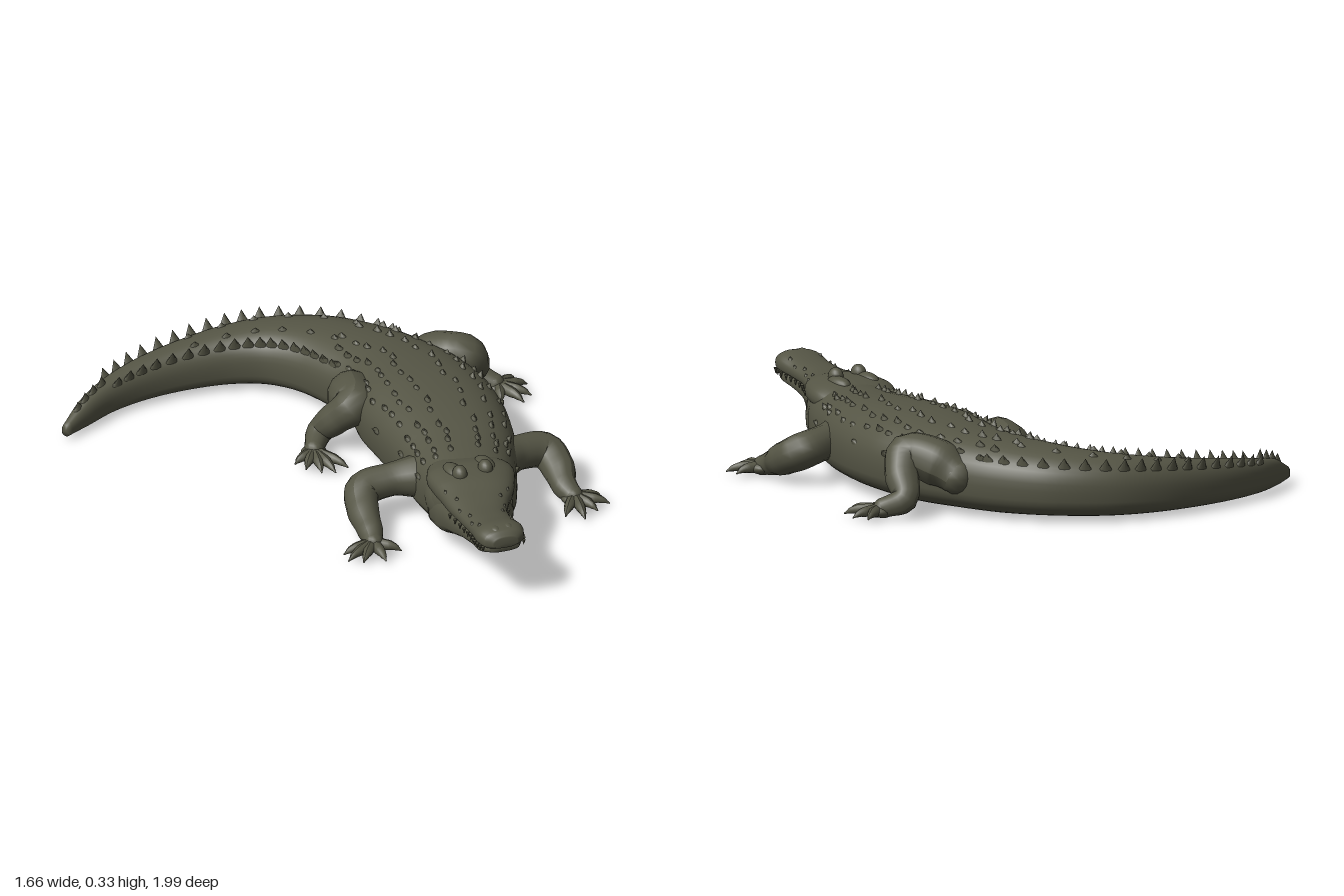
import * as THREE from 'three';
import { mergeGeometries } from 'three/addons/utils/BufferGeometryUtils.js';

const V = (x, y, z) => new THREE.Vector3(x, y, z);
const UP = V(0, 1, 0);
const spow = (v, e) => Math.sign(v) * Math.pow(Math.abs(v), e);

// Surface through cross-sections [x, z, halfWidth, bottom, top], front to back
function makeSurface(sections) {
  const path = new THREE.CatmullRomCurve3(sections.map(s => V(s[0], 0, s[1])));
  const size = new THREE.CatmullRomCurve3(sections.map(s => V(s[2], s[3], s[4])));
  return (u, a) => {
    u = THREE.MathUtils.clamp(u, 0, 1);
    const c = path.getPoint(u), d = path.getTangent(u), s = size.getPoint(u);
    const mid = s.y + 0.45 * (s.z - s.y), sin = Math.sin(a);
    const w = s.x * spow(Math.cos(a), 0.85);
    const y = mid + spow(sin, sin > 0 ? 0.85 : 0.6) * (sin > 0 ? s.z - mid : mid - s.y);
    return V(c.x - d.z * w, y, c.z + d.x * w);
  };
}

function loft(surface, rows, sides) {
  const pos = [], idx = [];
  for (let i = 0; i <= rows; i++)
    for (let j = 0; j < sides; j++) pos.push(...surface(i / rows, (j / sides) * Math.PI * 2).toArray());
  for (let i = 0; i < rows; i++)
    for (let j = 0; j < sides; j++) {
      const k = (j + 1) % sides, p = i * sides, q = p + sides;
      idx.push(p + j, q + j, p + k, q + j, q + k, p + k);
    }
  // End caps
  for (const i of [0, rows]) {
    const c = surface(i / rows, 0).add(surface(i / rows, Math.PI)).multiplyScalar(0.5);
    const n = pos.length / 3, p = i * sides;
    pos.push(...c.toArray());
    for (let j = 0; j < sides; j++) {
      const k = (j + 1) % sides;
      i ? idx.push(n, p + k, p + j) : idx.push(n, p + j, p + k);
    }
  }
  const g = new THREE.BufferGeometry();
  g.setAttribute('position', new THREE.Float32BufferAttribute(pos, 3));
  g.setIndex(idx);
  g.computeVertexNormals();
  return g;
}

// Tapered round tube through points [x, y, z, radius] with rounded ends
function limb(pts, n = 28, sides = 14) {
  const curve = new THREE.CatmullRomCurve3(pts.map(p => V(p[0], p[1], p[2])));
  const g = new THREE.TubeGeometry(curve, n, 1, sides);
  const P = g.attributes.position, v = V();
  for (let i = 0; i <= n; i++) {
    const c = curve.getPointAt(i / n);
    const t = curve.getUtoTmapping(i / n) * (pts.length - 1);
    const k = Math.min(Math.floor(t), pts.length - 2);
    const r = THREE.MathUtils.lerp(pts[k][3], pts[k + 1][3], THREE.MathUtils.smoothstep(t - k, 0, 1));
    for (let j = 0; j <= sides; j++) {
      const m = i * (sides + 1) + j;
      v.fromBufferAttribute(P, m).sub(c).multiplyScalar(r).add(c);
      P.setXYZ(m, v.x, v.y, v.z);
    }
  }
  g.computeVertexNormals();
  const ends = [pts[0], pts[pts.length - 1]].map(p =>
    new THREE.SphereGeometry(p[3], 12, 8).translate(p[0], p[1], p[2]));
  return mergeGeometries([g, ...ends]);
}

// Keeled scale: a cone stretched along the spine
function scute(surface, u, a, h, len, wid, lift) {
  const p = surface(u, a);
  const along = surface(u + 0.01, a).sub(surface(u - 0.01, a)).normalize();
  const across = surface(u, a + 0.03).sub(surface(u, a - 0.03));
  const up = along.clone().cross(across).normalize().lerp(UP, lift).normalize();
  const x = up.clone().cross(along).normalize();
  const z = x.clone().cross(up);
  const m = new THREE.Matrix4().makeBasis(x.multiplyScalar(wid), up.clone().multiplyScalar(h), z.multiplyScalar(len));
  m.setPosition(p.addScaledVector(up, -0.004));
  return new THREE.ConeGeometry(1, 1, 8).translate(0, 0.5, 0).applyMatrix4(m);
}

export function createModel() {
  let seed = 7;
  const rnd = () => (seed = (seed * 16807) % 2147483647) / 2147483647;
  const group = new THREE.Group();
  const hide = new THREE.MeshStandardMaterial({ color: 0x555545 });
  hide.name = 'olive hide';
  const add = (name, g) => {
    const m = new THREE.Mesh(g, hide);
    m.name = name;
    group.add(m);
    return m;
  };

  // Neck, trunk and curved tail
  const body = makeSurface([
    [0.18, 0.6, 0.12, 0.1, 0.27], [0.2, 0.5, 0.157, 0.05, 0.285], [0.23, 0.4, 0.175, 0.025, 0.288],
    [0.255, 0.3, 0.195, 0.015, 0.292], [0.285, 0.18, 0.22, 0.012, 0.302], [0.312, 0, 0.245, 0.01, 0.312],
    [0.322, -0.15, 0.253, 0.01, 0.312], [0.325, -0.3, 0.235, 0.01, 0.302], [0.3, -0.45, 0.205, 0.012, 0.285],
    [0.25, -0.58, 0.19, 0.012, 0.272], [0.165, -0.72, 0.165, 0.015, 0.255], [0.04, -0.83, 0.13, 0.015, 0.235],
    [-0.1, -0.885, 0.105, 0.015, 0.215], [-0.27, -0.905, 0.082, 0.015, 0.19], [-0.45, -0.895, 0.062, 0.015, 0.165],
    [-0.6, -0.858, 0.047, 0.015, 0.14], [-0.72, -0.8, 0.034, 0.015, 0.115], [-0.82, -0.745, 0.016, 0.02, 0.065]]);
  add('bodyAndTail', loft(body, 120, 40));

  // Head
  const upper = makeSurface([
    [0.098, 0.997, 0.045, 0.245, 0.285], [0.1, 0.975, 0.075, 0.235, 0.305], [0.104, 0.93, 0.088, 0.23, 0.31],
    [0.112, 0.85, 0.082, 0.22, 0.292], [0.122, 0.76, 0.087, 0.21, 0.28], [0.145, 0.66, 0.113, 0.2, 0.286],
    [0.175, 0.57, 0.142, 0.195, 0.3], [0.2, 0.48, 0.158, 0.195, 0.3], [0.22, 0.4, 0.14, 0.19, 0.28],
    [0.24, 0.34, 0.1, 0.19, 0.25]]);
  add('upperJaw', loft(upper, 54, 32));
  const lower = makeSurface([
    [0.1, 0.983, 0.055, 0.222, 0.255], [0.104, 0.93, 0.08, 0.2, 0.255], [0.112, 0.85, 0.077, 0.18, 0.245],
    [0.122, 0.76, 0.084, 0.155, 0.238], [0.145, 0.66, 0.109, 0.11, 0.24], [0.175, 0.57, 0.139, 0.062, 0.24],
    [0.2, 0.48, 0.155, 0.04, 0.24]]);
  add('lowerJaw', loft(lower, 40, 32));

  const lump = (name, x, y, z, rx, ry, rz) => {
    const m = add(name, new THREE.SphereGeometry(1, 18, 12));
    m.position.set(x, y, z);
    m.scale.set(rx, ry, rz);
  };
  for (const s of [-1, 1]) {
    lump('eye', 0.182 + s * 0.05, 0.3, 0.535, 0.026, 0.032, 0.032);
    lump('brow', 0.19 + s * 0.062, 0.284, 0.49, 0.032, 0.026, 0.06);
    lump('nostril', 0.102 + s * 0.024, 0.298, 0.95, 0.018, 0.013, 0.022);
    lump('jowl', 0.205 + s * 0.11, 0.16, 0.46, 0.05, 0.075, 0.1);
  }

  // Teeth along both sides of the mouth
  const teeth = [];
  for (const a of [-0.12, Math.PI + 0.12])
    for (let i = 0; i < 11; i++) {
      const p = upper(0.13 + i * 0.04, a);
      teeth.push(new THREE.ConeGeometry(0.007, 0.022, 6).rotateX(Math.PI).translate(p.x, p.y - 0.02, p.z));
    }
  add('teeth', mergeGeometries(teeth));

  // Rows of scales over the back, sparser down the flanks
  const back = [];
  for (let r = 0; r < 15; r++)
    [15, 38, 57, 78].forEach((deg, k) => {
      for (const s of [-1, 1]) {
        if (k === 0 && r % 3) continue;
        const a = ((90 + s * (90 - deg)) * Math.PI) / 180 + (rnd() - 0.5) * 0.12;
        const u = 0.14 + r * 0.0275 + (k % 2) * 0.013 + (rnd() - 0.5) * 0.01;
        back.push(scute(body, u, a, 0.016 + rnd() * 0.012, 0.022, 0.012, 0.3));
      }
    });
  add('backScales', mergeGeometries(back));

  // Upright double crest on the tail, closing to one row at the tip
  const crest = [];
  for (let i = 0; i < 22; i++) {
    const t = i / 21, u = 0.52 + t * 0.44;
    const off = t > 0.85 ? 0 : 0.95 - t * 0.35;
    const h = 0.03 + 0.02 * Math.sin(t * Math.PI);
    for (const s of off ? [-1, 1] : [0]) crest.push(scute(body, u, Math.PI / 2 + s * off, h, 0.024, 0.011, 0.6));
    if (t < 0.6 && i % 2) for (const s of [-1, 1]) crest.push(scute(body, u + 0.008, Math.PI / 2 + s * 0.3, 0.02, 0.02, 0.01, 0.5));
  }
  add('tailCrest', mergeGeometries(crest));

  // Small scales on the snout
  const snout = [];
  for (let i = 0; i < 6; i++)
    for (const s of [-1, 1])
      snout.push(scute(upper, 0.28 + i * 0.065, Math.PI / 2 + s * (0.75 + (i % 2) * 0.3), 0.013, 0.013, 0.009, 0.4));
  add('snoutScales', mergeGeometries(snout));

  // Legs: limb path, palm centre [x, z], toe tips [x, z]
  const legs = [
    ['leftFrontLeg', [[0.38, 0.15, 0.28, 0.08], [0.5, 0.145, 0.24, 0.063], [0.605, 0.125, 0.235, 0.066],
      [0.622, 0.09, 0.31, 0.06], [0.61, 0.06, 0.39, 0.046], [0.622, 0.042, 0.44, 0.036]],
    [0.625, 0.44], [[0.55, 0.53], [0.605, 0.575], [0.67, 0.54], [0.73, 0.51], [0.725, 0.455]]],
    ['rightFrontLeg', [[0.12, 0.15, 0.25, 0.08], [0, 0.145, 0.222, 0.06], [-0.1, 0.125, 0.218, 0.065],
      [-0.135, 0.09, 0.29, 0.058], [-0.15, 0.06, 0.38, 0.047], [-0.163, 0.042, 0.44, 0.036]],
    [-0.165, 0.44], [[-0.28, 0.445], [-0.285, 0.495], [-0.24, 0.525], [-0.165, 0.55], [-0.085, 0.505]]],
    ['leftHindLeg', [[0.465, 0.15, -0.52, 0.065], [0.495, 0.19, -0.45, 0.085], [0.565, 0.215, -0.365, 0.078],
      [0.615, 0.155, -0.395, 0.062], [0.645, 0.08, -0.455, 0.048], [0.705, 0.045, -0.405, 0.037]],
    [0.715, -0.395], [[0.8, -0.445], [0.825, -0.39], [0.805, -0.31], [0.76, -0.275], [0.69, -0.31]]],
    ['rightHindLeg', [[0.15, 0.15, -0.43, 0.065], [0.11, 0.18, -0.33, 0.088], [0.08, 0.195, -0.24, 0.073],
      [0.025, 0.14, -0.27, 0.06], [-0.022, 0.07, -0.315, 0.047], [-0.075, 0.045, -0.25, 0.036]],
    [-0.08, -0.24], [[-0.165, -0.215], [-0.145, -0.165], [-0.105, -0.12], [-0.06, -0.1], [-0.005, -0.115]]]
  ];
  for (const [name, path, [px, pz], tips] of legs) {
    add(name, limb(path));
    lump(name + 'Foot', px, 0.035, pz, 0.048, 0.024, 0.048);
    add(name + 'Toes', mergeGeometries(tips.map(([x, z]) => {
      const at = (t, y, r) => [px + (x - px) * t, y, pz + (z - pz) * t, r];
      return limb([at(0.2, 0.038, 0.022), at(0.55, 0.038, 0.019), at(0.78, 0.034, 0.013), at(1, 0.022, 0.003)], 10, 8);
    })));
  }
  return group;
}
